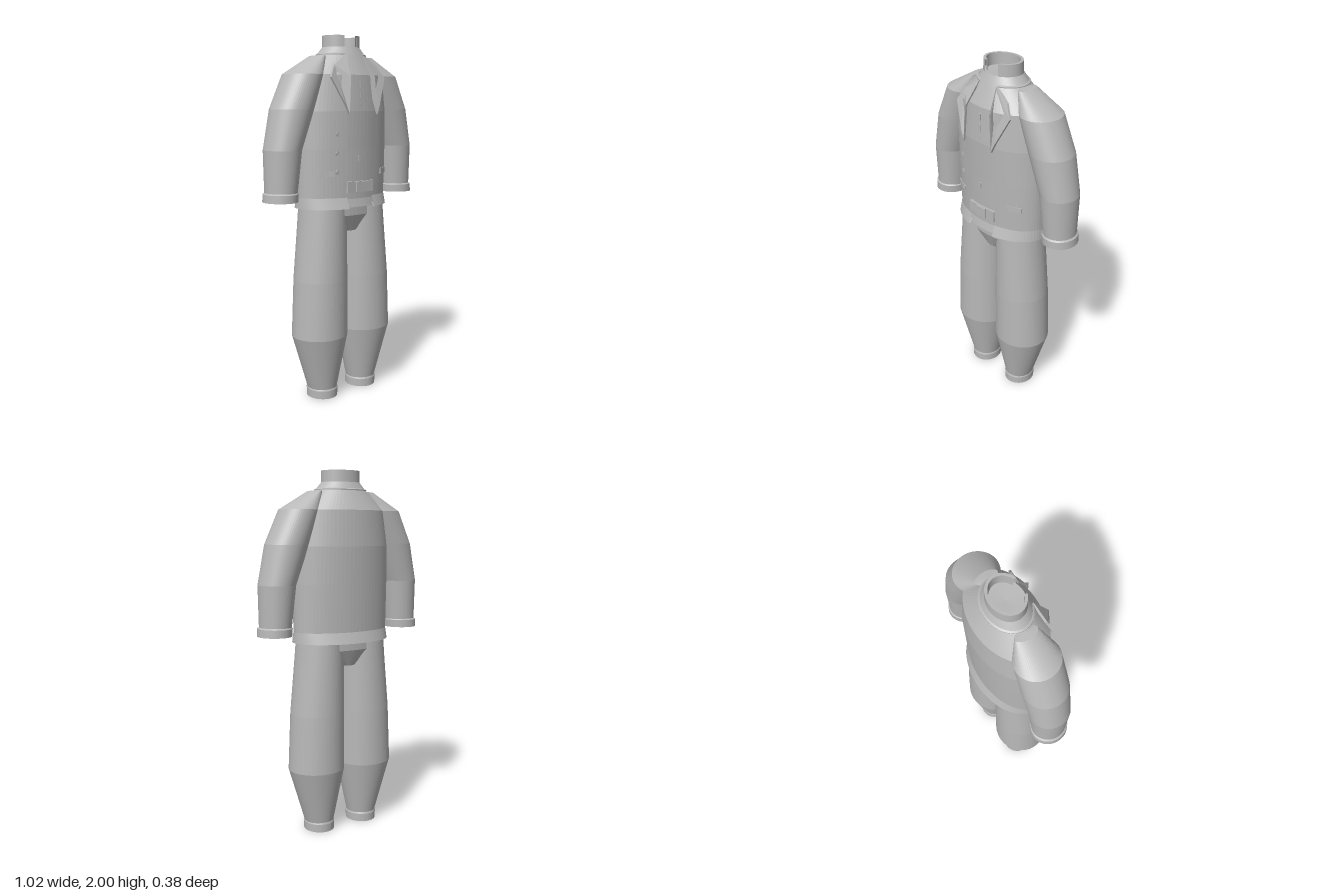
import * as THREE from 'three';

const cloth = new THREE.MeshStandardMaterial({ color: 0xb8b8b8, side: THREE.DoubleSide });
cloth.name = 'plain grey cloth';

// Faceted skin through elliptical rings [x, y, z, rx, rz, frontGap], listed so that faces look outward
function loft(rings, sides = 64) {
  const rows = rings.map(([x, y, z, rx, rz, gap = 0]) => {
    const g = rx > gap ? Math.asin(gap / rx) : 0;
    return Array.from({ length: sides + 1 }, (_, i) => {
      const a = g + (i / sides) * (Math.PI * 2 - 2 * g);
      return [x + rx * Math.sin(a), y, z + rz * Math.cos(a)];
    });
  });
  const p = [];
  for (let r = 0; r < rows.length - 1; r++) {
    const lo = rows[r], hi = rows[r + 1];
    for (let i = 0; i < sides; i++) {
      if (rings[r][3] > 0) p.push(...lo[i], ...lo[i + 1], ...hi[i]);
      if (rings[r + 1][3] > 0) p.push(...lo[i + 1], ...hi[i + 1], ...hi[i]);
    }
  }
  const g = new THREE.BufferGeometry();
  g.setAttribute('position', new THREE.Float32BufferAttribute(p, 3));
  g.computeVertexNormals();
  return g;
}

// Solid plate: a fan over the outline, repeated at a lower depth and joined by side walls
function plate(outline, depth) {
  const p = [], n = outline.length;
  const back = outline.map(([x, y, z]) => [x, y, z - depth]);
  for (let i = 0; i < n; i++) {
    const j = (i + 1) % n;
    if (i > 0 && j > 0) {
      p.push(...outline[0], ...outline[i], ...outline[j]);
      p.push(...back[0], ...back[j], ...back[i]);
    }
    p.push(...outline[i], ...back[i], ...outline[j], ...back[i], ...back[j], ...outline[j]);
  }
  const g = new THREE.BufferGeometry();
  g.setAttribute('position', new THREE.Float32BufferAttribute(p, 3));
  g.computeVertexNormals();
  return g;
}

export function createModel() {
  const model = new THREE.Group();
  model.name = 'jacket and trousers';
  const add = (name, geometry, x = 0, y = 0, z = 0) => {
    const m = new THREE.Mesh(geometry, cloth);
    m.name = name;
    m.position.set(x, y, z);
    model.add(m);
    return m;
  };

  // Jacket shell, open down the front with a flared hem
  add('jacket', loft([
    [0, 1.12, 0, 0.268, 0.15, 0.09], [0, 1.085, 0, 0.28, 0.173, 0.09],
    [0, 1.08, 0, 0.293, 0.187, 0.09], [0, 1.14, 0, 0.288, 0.165, 0.09],
    [0, 1.4, 0, 0.291, 0.174, 0.1], [0, 1.6, 0, 0.287, 0.181, 0.105],
    [0, 1.79, 0, 0.262, 0.172, 0.09], [0, 1.9, 0, 0.147, 0.112, 0.055],
  ]));

  // Closed vest underneath, up to the floor inside the collar
  add('vest', loft([
    [0, 1.11, 0, 0, 0], [0, 1.11, 0, 0.272, 0.155], [0, 1.4, 0, 0.277, 0.162],
    [0, 1.6, 0, 0.273, 0.17], [0, 1.79, 0, 0.25, 0.16], [0, 1.9, 0, 0.145, 0.11],
    [0, 1.94, 0, 0.11, 0.09], [0, 1.935, 0, 0, 0],
  ]));
  add('vestSkirt', loft([[0, 1.085, 0, 0.262, 0.166], [0, 1.13, 0, 0.27, 0.156]]));

  // Stand-up collar with a gap at the throat
  add('collar', loft([
    [0, 1.93, 0, 0.093, 0.073, 0.045], [0, 2, 0, 0.095, 0.075, 0.045],
    [0, 2, 0, 0.109, 0.089, 0.045], [0, 1.93, 0, 0.111, 0.091, 0.045],
  ].reverse()));
  add('neckSeam', loft([
    [0, 1.885, 0, 0.152, 0.114, 0.06], [0, 1.9, 0, 0.152, 0.116, 0.06], [0, 1.905, 0, 0.142, 0.108, 0.06],
  ]));

  // Vest placket, buttons and belt
  for (const y of [1.62, 1.68, 1.74]) add('placketStitch', new THREE.BoxGeometry(0.012, 0.035, 0.01), 0, y, 0.164);
  add('vestButton', new THREE.BoxGeometry(0.012, 0.03, 0.01), -0.01, 1.35, 0.162);
  add('belt', new THREE.BoxGeometry(0.186, 0.06, 0.02), 0, 1.195, 0.156);
  add('buckle', new THREE.BoxGeometry(0.07, 0.055, 0.012), 0, 1.195, 0.169);

  for (const s of [1, -1]) {
    const side = s > 0 ? 'left' : 'right';

    // Sleeve with a sloping shoulder cap and a hollow cuff
    add(side + 'Sleeve', loft([
      [s * 0.413, 1.17, 0, 0.085, 0.092], [s * 0.4, 1.4, 0, 0.1, 0.107],
      [s * 0.338, 1.61, 0, 0.118, 0.118], [s * 0.26, 1.79, 0, 0.11, 0.117],
      [s * 0.165, 1.89, 0, 0.03, 0.06], [s * 0.15, 1.895, 0, 0, 0],
    ]));
    add(side + 'SleeveCuff', loft([
      [s * 0.415, 1.17, 0, 0, 0], [s * 0.415, 1.17, 0, 0.066, 0.072],
      [s * 0.418, 1.13, 0, 0.066, 0.072], [s * 0.418, 1.13, 0, 0.092, 0.1],
      [s * 0.415, 1.172, 0, 0.092, 0.1], [s * 0.413, 1.18, 0, 0.084, 0.091],
    ]));

    // Trouser leg, ballooned at the knee and gathered into a hollow cuff
    add(side + 'Leg', loft([
      [s * 0.145, 0.045, 0.004, 0.08, 0.086], [s * 0.16, 0.36, 0.004, 0.16, 0.151],
      [s * 0.153, 0.68, 0.004, 0.152, 0.148], [s * 0.14, 0.97, 0.003, 0.137, 0.14],
      [s * 0.133, 1.12, 0.002, 0.131, 0.136],
    ]));
    add(side + 'LegCuff', loft([
      [s * 0.145, 0.05, 0.004, 0, 0], [s * 0.145, 0.05, 0.004, 0.06, 0.066],
      [s * 0.145, 0, 0.004, 0.06, 0.066], [s * 0.145, 0, 0.004, 0.084, 0.091],
      [s * 0.145, 0.045, 0.004, 0.085, 0.092], [s * 0.145, 0.055, 0.004, 0.08, 0.088],
    ]));

    // Folded lapel standing off the chest
    const lapel = [
      [s * 0.06, 1.9, 0.108], [s * 0.085, 1.78, 0.182], [s * 0.1, 1.585, 0.19],
      [s * 0.125, 1.64, 0.182], [s * 0.19, 1.775, 0.148], [s * 0.15, 1.84, 0.125],
    ];
    add(side + 'Lapel', plate(s > 0 ? lapel : lapel.reverse(), 0.012));

    // Pocket flap following the side of the jacket
    const flap = add(side + 'PocketFlap', new THREE.BoxGeometry(0.08, 0.03, 0.008), s * 0.2, 1.27, 0.122);
    flap.rotation.y = s * 0.5;
  }

  // Buttons on the right front panel
  for (const y of [1.28, 1.38, 1.48]) {
    const g = new THREE.CylinderGeometry(0.011, 0.011, 0.008, 12).rotateX(Math.PI / 2);
    add('jacketButton', g, -0.15, y, 0.149);
  }

  // Hips tapering to the crotch between the legs
  add('hips', loft([
    [0, 0.945, 0, 0, 0], [0, 0.945, 0, 0.075, 0.1],
    [0, 1.035, 0, 0.265, 0.135], [0, 1.1, 0, 0.262, 0.135],
  ]));

  return model;
}
